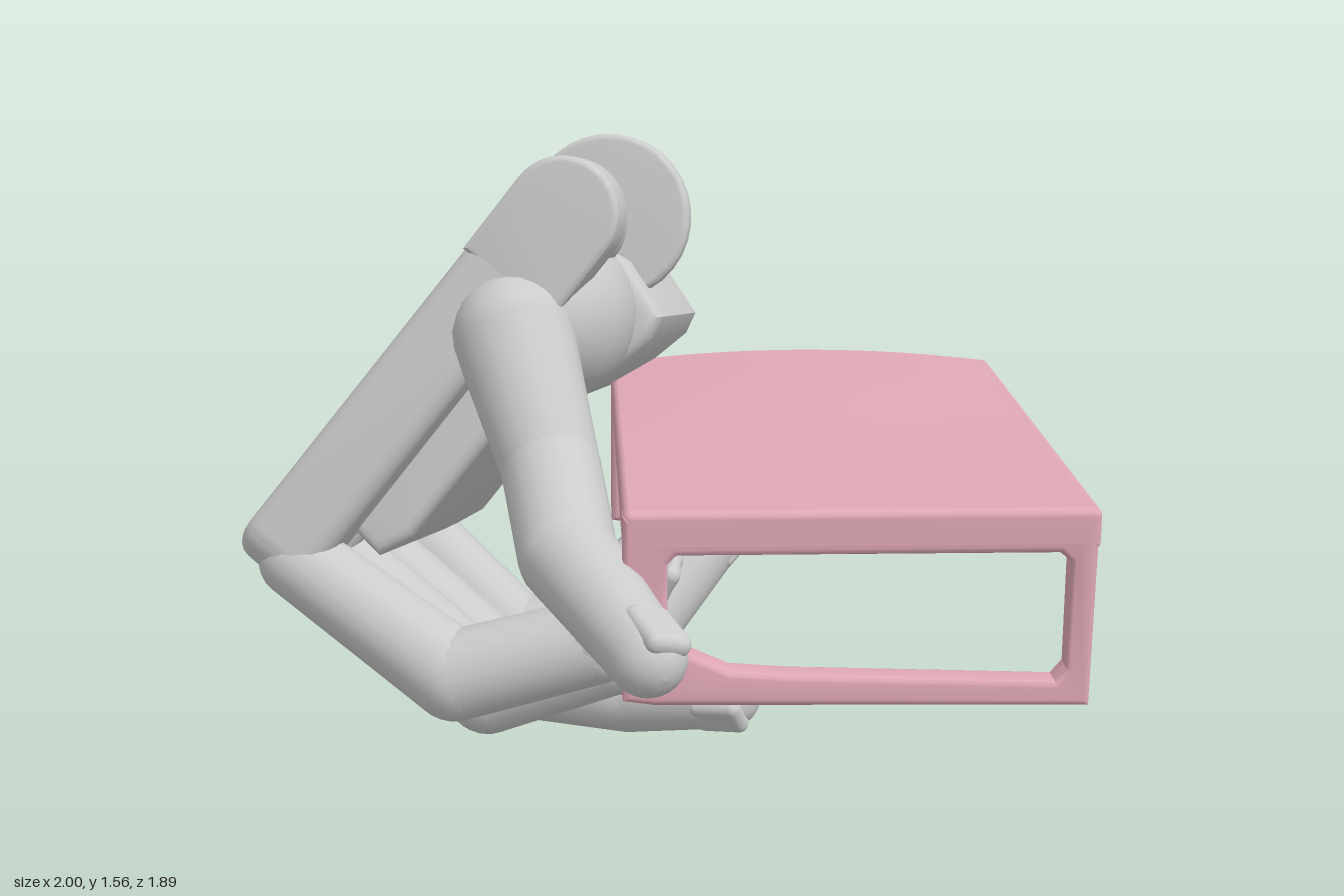
import * as THREE from 'three';
import { RoundedBoxGeometry } from 'three/addons/geometries/RoundedBoxGeometry.js';
import { toCreasedNormals } from 'three/addons/utils/BufferGeometryUtils.js';

const V = (a) => new THREE.Vector3(...a);
const grey = new THREE.MeshStandardMaterial({ color: 0xcccccc });
const pink = new THREE.MeshStandardMaterial({ color: 0xe0a8b6 });

function add(parent, name, geometry, material = grey) {
  const mesh = new THREE.Mesh(geometry, material);
  mesh.name = name;
  parent.add(mesh);
  return mesh;
}

function polygon(points, Type = THREE.Shape) {
  return new Type(points.map(([x, y]) => new THREE.Vector2(x, y)));
}

function extrude(shape, depth, bevel) {
  const g = new THREE.ExtrudeGeometry(shape, {
    depth: depth - 2 * bevel, bevelThickness: bevel, bevelSize: bevel,
    bevelOffset: -bevel, bevelSegments: 4, curveSegments: 16,
  });
  g.translate(0, 0, bevel);
  return toCreasedNormals(g, 0.6);
}

// Tapered finger segment with rounded ends, running from a to b
function bone(parent, name, a, b, r0, r1) {
  const length = a.distanceTo(b);
  const points = [];
  for (let i = 0; i <= 6; i++) {
    const t = (i / 6 - 1) * Math.PI / 2;
    points.push(new THREE.Vector2(r0 * Math.cos(t), r0 * Math.sin(t)));
  }
  for (let i = 0; i <= 6; i++) {
    const t = (i / 6) * Math.PI / 2;
    points.push(new THREE.Vector2(r1 * Math.cos(t), length + r1 * Math.sin(t)));
  }
  points[0].x = points[13].x = 0;
  const mesh = add(parent, name, new THREE.LatheGeometry(points, 20));
  mesh.position.copy(a);
  mesh.quaternion.setFromUnitVectors(new THREE.Vector3(0, 1, 0), b.clone().sub(a).normalize());
}

// Chain of segments with a nail on the tip
function finger(parent, name, path, radii, nailSide) {
  const group = new THREE.Group();
  group.name = name;
  parent.add(group);
  const p = path.map(V);
  const n = p.length - 1;
  for (let i = 0; i < n; i++) {
    bone(group, name + 'Segment', p[i], p[i + 1], radii[i], radii[i + 1]);
  }
  // Nail plate, laid along the last segment
  const along = p[n].clone().sub(p[n - 1]).normalize();
  const out = V(nailSide).addScaledVector(along, -V(nailSide).dot(along)).normalize();
  const side = along.clone().cross(out);
  const r = radii[n];
  const nail = add(group, name + 'Nail', new RoundedBoxGeometry(r * 1.3, r * 1.7, r * 0.6, 4, r * 0.29));
  nail.quaternion.setFromRotationMatrix(new THREE.Matrix4().makeBasis(side, along, out));
  nail.position.copy(p[n]).addScaledVector(out, r * 0.72).addScaledVector(along, -r * 0.1);
}

// Palm in its own frame: x to the wrist, y out of the back, z to the thumb side
function buildPalm(root) {
  const palm = new THREE.Group();
  palm.name = 'palm';
  root.add(palm);
  const u = V([0.62, 0.785, 0]).normalize();
  const w = V([-0.22, 0.174, 0.96]).normalize();
  const n = w.clone().cross(u).normalize();
  palm.quaternion.setFromRotationMatrix(new THREE.Matrix4().makeBasis(u, n, u.clone().cross(n)));
  palm.position.set(-0.9, 0.58, -0.08);

  // Flat back plate ending in four rounded knuckles split by slots
  const half = 0.105;
  const outline = new THREE.Shape();
  outline.moveTo(1.0, 0.06);
  [-0.08, -0.1, -0.06, 0.05].forEach((front, i) => {
    const z = -0.25 * i;
    if (i > 0) outline.lineTo(0.18, z + half);
    outline.lineTo(front + half, z + half);
    outline.absarc(front + half, z, half, Math.PI / 2, Math.PI * 1.5, false);
    if (i < 3) outline.lineTo(0.18, z - half);
  });
  outline.lineTo(0.22, -0.87);
  outline.lineTo(0.92, -0.88);
  const back = extrude(outline, 0.21, 0.045);
  back.rotateX(Math.PI / 2);
  add(palm, 'backPlate', back).position.y = 0.1;

  // Fleshy inner side
  const belly = extrude(polygon([[0.14, 0.02], [0.12, -0.19], [0.22, -0.23], [0.55, -0.23],
    [0.86, -0.28], [0.95, -0.2], [0.95, 0.04]]), 0.72, 0.03);
  add(palm, 'innerPalm', belly).position.z = -0.76;

  // Heel of the hand, overhanging the palm on the little finger side
  const heel = extrude(polygon([[0.55, 0.02], [0.6, -0.22], [0.76, -0.31], [0.95, -0.35],
    [1.01, -0.335], [1.06, -0.17], [1.03, 0.0]]), 0.56, 0.04);
  add(palm, 'palmHeel', heel).position.z = -0.89;

  // Wrist hinge plates: along, out, across, radius, thickness
  [[1.1, -0.04, 0, 0.14, 0.13], [1.07, -0.03, -0.2, 0.13, 0.1], [1.11, -0.05, -0.44, 0.215, 0.06],
    [1.02, -0.03, -0.64, 0.13, 0.09], [1.01, -0.03, -0.81, 0.13, 0.09]].forEach(([x, y, z, r, t]) => {
    const lugShape = new THREE.Shape();
    lugShape.moveTo(-0.22, -r);
    lugShape.lineTo(0, -r);
    lugShape.absarc(0, 0, r, -Math.PI / 2, Math.PI / 2, false);
    lugShape.lineTo(-0.22, r);
    const disc = new THREE.Shape().absarc(0, 0, r, 0, Math.PI * 2, false);
    const lug = add(palm, 'wristLug', extrude(r > 0.2 ? disc : lugShape, t, 0.015));
    lug.position.set(x, y, z - t / 2);
  });
  const pin = add(palm, 'wristPin', new THREE.CylinderGeometry(0.06, 0.06, 0.8, 16));
  pin.rotation.x = Math.PI / 2;
  pin.position.set(1.0, -0.04, -0.4);

  // Swelling at the root of the thumb
  const mound = add(palm, 'thumbMound', new THREE.SphereGeometry(1, 32, 20));
  mound.scale.set(0.23, 0.23, 0.3);
  mound.position.set(0.84, -0.11, -0.22);
}

// Upright rectangular leg frame with an opening
function legFrame(parent, name, hole, z, depth) {
  const shape = polygon([[-0.07, 0.44], [0.0, 0.43], [0.98, 0.42], [0.985, 0.87], [-0.07, 0.87]]);
  shape.holes.push(polygon(hole, THREE.Path));
  add(parent, name, extrude(shape, depth, 0.015), pink).position.z = z;
}

function buildTable(root) {
  const table = new THREE.Group();
  table.name = 'table';
  root.add(table);
  const top = new RoundedBoxGeometry(1.06, 0.1, 1.52, 3, 0.02);
  add(table, 'tableTop', top, pink).position.set(0.46, 0.833, -0.075);
  // Gentle swell of the board toward the back
  const swell = new THREE.PlaneGeometry(1.02, 1.48, 24, 32);
  swell.rotateX(-Math.PI / 2);
  const pos = swell.attributes.position;
  for (let i = 0; i < pos.count; i++) {
    const a = Math.max(0, 1 - (pos.getX(i) / 0.51) ** 2);
    const b = THREE.MathUtils.smoothstep(-pos.getZ(i), -0.4, 0.5);
    pos.setY(i, a * b * 0.032);
  }
  swell.computeVertexNormals();
  add(table, 'tableTopSwell', swell, pink).position.set(0.455, 0.8835, -0.075);

  legFrame(table, 'frontLegs', [[0.03, 0.62], [0.08, 0.55], [0.17, 0.51], [0.3, 0.5],
    [0.9, 0.48], [0.925, 0.51], [0.925, 0.76], [0.9, 0.78], [0.05, 0.78], [0.03, 0.76]], 0.61, 0.075);
  legFrame(table, 'backLegs', [[0.04, 0.54], [0.08, 0.51], [0.77, 0.51], [0.8, 0.56],
    [0.81, 0.72], [0.84, 0.78], [0.06, 0.78], [0.04, 0.76]], -0.83, 0.08);
}

export function createModel() {
  const root = new THREE.Group();
  root.name = 'handHoldingTable';
  buildTable(root);
  const hand = new THREE.Group();
  hand.name = 'hand';
  root.add(hand);
  buildPalm(hand);

  const radii = [0.1, 0.113, 0.107, 0.085];
  finger(hand, 'indexFinger', [[-0.87, 0.55, -0.06], [-0.47, 0.32, 0.17],
    [-0.13, 0.42, 0.21], [-0.02, 0.62, 0.27]], radii, [1, -0.3, 0]);
  finger(hand, 'middleFinger', [[-0.84, 0.52, -0.32], [-0.4, 0.18, -0.1],
    [-0.09, 0.3, -0.03], [0.0, 0.56, 0.01]], radii, [1, -0.3, 0]);
  finger(hand, 'ringFinger', [[-0.79, 0.48, -0.56], [-0.36, 0.13, -0.36],
    [-0.03, 0.115, -0.25], [0.22, 0.15, -0.12]], radii, [0.5, -0.3, 0.9]);
  finger(hand, 'littleFinger', [[-0.67, 0.46, -0.79], [-0.33, 0.14, -0.62],
    [0.02, 0.21, -0.58], [0.23, 0.43, -0.69]], radii, [1, -0.4, 0]);
  finger(hand, 'thumb', [[-0.32, 1.13, -0.02], [-0.23, 0.85, 0.18], [-0.19, 0.73, 0.51],
    [-0.02, 0.61, 0.86]], [0.15, 0.12, 0.115, 0.088], [0.5, 0.8, 0.4]);
  return root;
}
